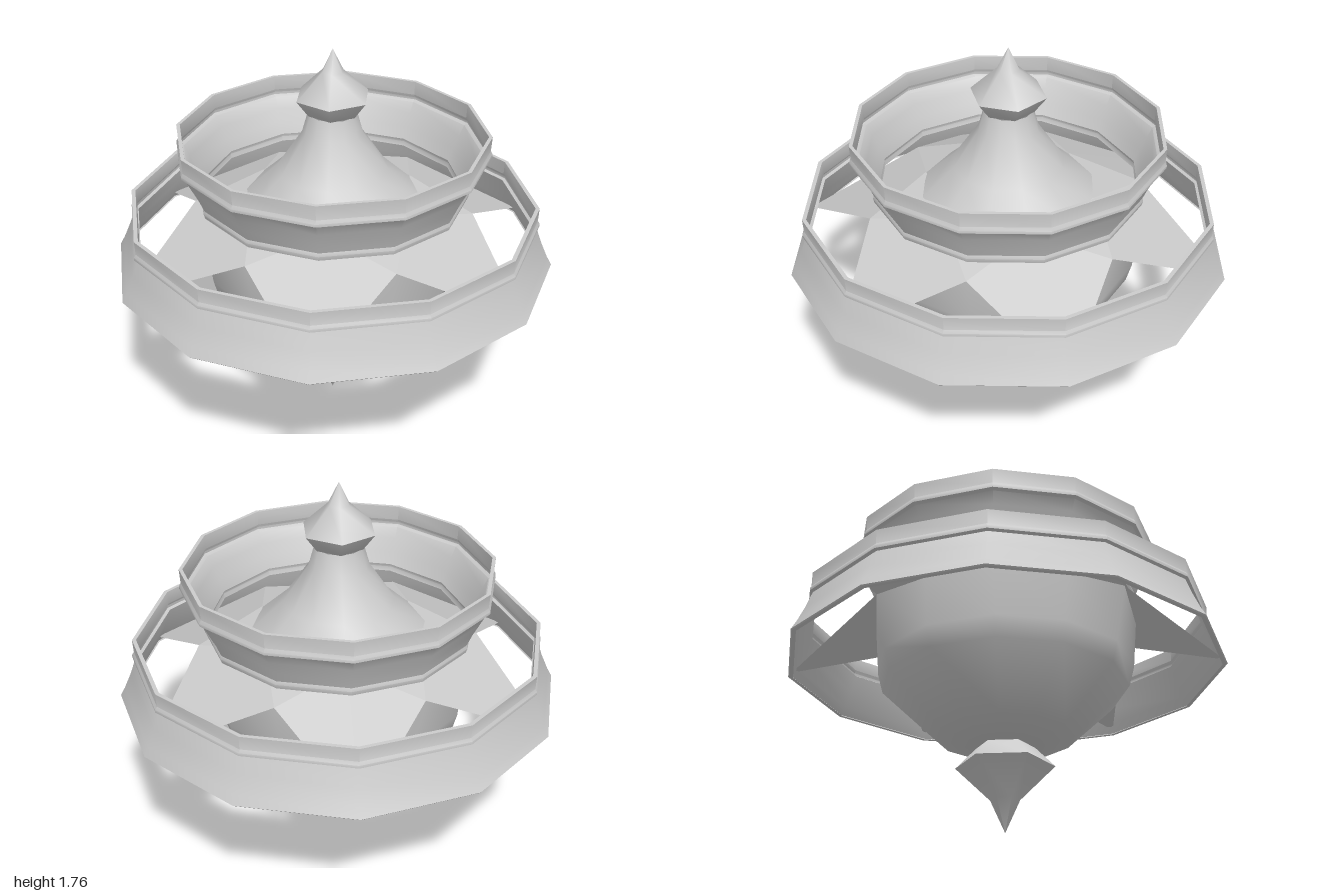
import * as THREE from 'three';
import { toCreasedNormals } from 'three/addons/utils/BufferGeometryUtils.js';

const grey = new THREE.MeshStandardMaterial({ color: 0xcccccc, side: THREE.DoubleSide });

// Faceted turned part from [radius, height] points, listed upwards on the outside
function turned(name, profile, sides, crease = 0.65, adjust) {
  const points = profile.map(([r, y]) => new THREE.Vector2(r, y));
  const start = sides === 6 ? Math.PI / 6 : 0;
  let geometry = new THREE.LatheGeometry(points, sides, start);
  if (adjust) adjust(geometry.attributes.position);
  geometry = toCreasedNormals(geometry, crease);
  const mesh = new THREE.Mesh(geometry, grey);
  mesh.name = name;
  return mesh;
}

// Thin-walled ring: the outer profile, then the same profile moved inwards
function ring(name, outer, wall) {
  const inner = outer.map(([r, y]) => [r - wall, y]).reverse();
  return turned(name, [...outer, ...inner, outer[0]], 12);
}

function polar(r, degrees, y) {
  const a = THREE.MathUtils.degToRad(degrees);
  return [r * Math.cos(a), y, r * Math.sin(a)];
}

function flatPanel(name, corners) {
  const positions = [];
  for (let i = 1; i < corners.length - 1; i++) {
    positions.push(...corners[0], ...corners[i + 1], ...corners[i]);
  }
  const geometry = new THREE.BufferGeometry();
  geometry.setAttribute('position', new THREE.Float32BufferAttribute(positions, 3));
  geometry.computeVertexNormals();
  const mesh = new THREE.Mesh(geometry, grey);
  mesh.name = name;
  return mesh;
}

export function createModel() {
  const model = new THREE.Group();
  model.name = 'tieredTop';

  // Pointed hexagonal finials at both ends
  model.add(turned('lowerFinial',
    [[0, 0.005], [0.065, 0.15], [0.22, 0.3], [0.13, 0.39], [0, 0.39]], 6, 1.1));
  model.add(turned('upperFinial',
    [[0, 1.48], [0.115, 1.48], [0.17, 1.555], [0.05, 1.67], [0, 1.77]], 6, 1.1));

  // Rounded bowl; its rim rises to the corners between the fins
  const rimY = 0.975;
  model.add(turned('bowl',
    [[0, 0.385], [0.14, 0.388], [0.315, 0.44], [0.558, 0.67], [0.582, 0.76], [0.6, rimY]],
    12, 0.9, (p) => {
      for (let i = 0; i < p.count; i++) {
        const sector = Math.round(Math.atan2(p.getX(i), p.getZ(i)) / (Math.PI / 6));
        if (p.getY(i) > 0.97 && sector % 2 === 0) {
          p.setXYZ(i, p.getX(i) * 1.05, 1.01, p.getZ(i) * 1.05);
        }
      }
    }));

  // Flared neck
  model.add(turned('neck',
    [[0.39, 1.085], [0.25, 1.215], [0.135, 1.385], [0.108, 1.48]], 12));

  // Six sloping kite fins, joined by triangular roof panels
  const fins = new THREE.Group();
  fins.name = 'finnedRoof';
  for (let i = 0; i < 6; i++) {
    const a = i * 60;
    const inner = polar(0.39, a, 1.09);
    const corner = polar(0.63, a + 30, 1.01);
    fins.add(flatPanel('fin', [inner, polar(0.63, a - 30, 1.01), polar(0.985, a, 0.785), corner]));
    fins.add(flatPanel('roofPanel', [inner, corner, polar(0.39, a + 60, 1.09)]));
  }
  model.add(fins);

  // Large lower ring flaring downwards, small upper ring flaring upwards
  model.add(ring('lowerRing', [
    [0.995, 0.76], [1.0, 0.765], [0.978, 0.805], [0.945, 0.88], [0.918, 0.955],
    [0.931, 0.962], [0.931, 0.975], [0.922, 0.988], [0.925, 1.05],
  ], 0.018));
  model.add(ring('upperRing', [
    [0.604, 1.09], [0.61, 1.11], [0.605, 1.125], [0.628, 1.18], [0.658, 1.24], [0.683, 1.29],
    [0.699, 1.298], [0.699, 1.31], [0.691, 1.325], [0.695, 1.39],
  ], 0.016));

  return model;
}
